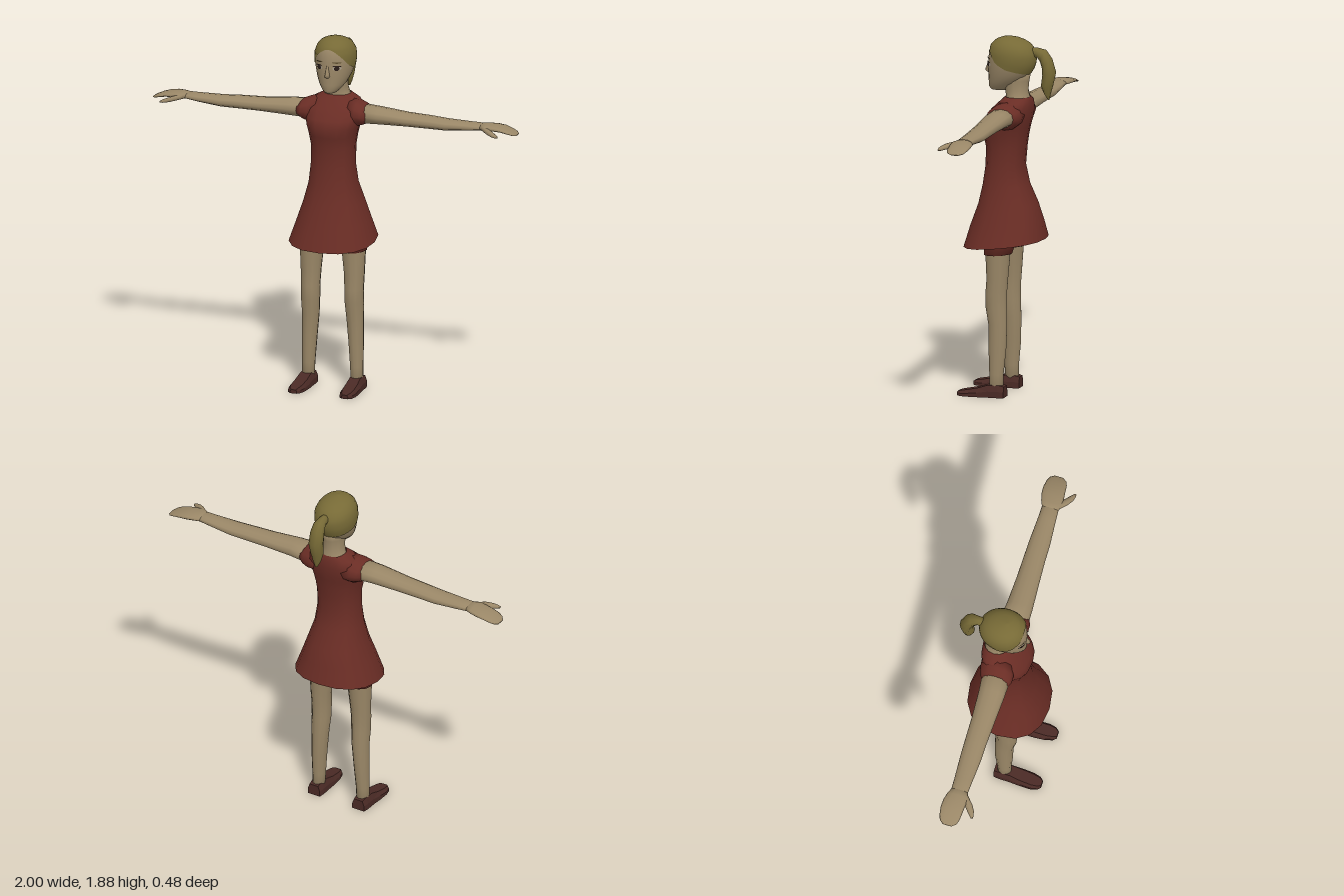
import * as THREE from 'three';

const mat = (name, color, side = THREE.FrontSide) => {
  const m = new THREE.MeshStandardMaterial({ color, side });
  m.name = name;
  return m;
};
const V = (x, y, z) => new THREE.Vector3(x, y, z);

// Closed ring c + u cos(a) + v sin(a); power above 2 squares it off
function ring(c, u, v, n = 12, power = 2) {
  const f = (t) => Math.sign(t) * Math.pow(Math.abs(t), 2 / power);
  return Array.from({ length: n }, (_, i) => {
    const a = (i / n) * Math.PI * 2;
    return c.clone().addScaledVector(u, f(Math.cos(a))).addScaledVector(v, f(Math.sin(a)));
  });
}

// Skin a stack of rings, optionally closing both ends
function loft(rings, caps = true) {
  const n = rings[0].length, pos = [], idx = [];
  rings.forEach((r) => r.forEach((p) => pos.push(p.x, p.y, p.z)));
  for (let i = 0; i < rings.length - 1; i++) {
    for (let j = 0; j < n; j++) {
      const a = i * n + j, b = i * n + (j + 1) % n;
      idx.push(a, a + n, b, b, a + n, b + n);
    }
  }
  if (caps) {
    for (const last of [false, true]) {
      const r = last ? rings[rings.length - 1] : rings[0];
      const c = r.reduce((s, p) => s.add(p), V(0, 0, 0)).divideScalar(n);
      const k = pos.length / 3, o = last ? (rings.length - 1) * n : 0;
      pos.push(c.x, c.y, c.z);
      for (let j = 0; j < n; j++) {
        const a = o + j, b = o + (j + 1) % n;
        last ? idx.push(k, b, a) : idx.push(k, a, b);
      }
    }
  }
  const g = new THREE.BufferGeometry();
  g.setAttribute('position', new THREE.Float32BufferAttribute(pos, 3));
  g.setIndex(idx);
  g.computeVertexNormals();
  return g;
}

// Upright form from rows of [y, centreX, halfWidth, zFront, zBack, tilt]
const upright = (rows, n, power, caps) => loft(rows.map(([y, cx, hx, zf, zb, tilt = 0]) =>
  ring(V(cx, y, (zf + zb) / 2), V(hx, 0, 0), V(0, tilt, (zf - zb) / 2), n, power)), caps);

// Sideways form from rows of [x, yTop, yBottom, zFront, zBack]
const sideways = (rows, n) => loft(rows.map(([x, yt, yb, zf, zb]) =>
  ring(V(x, (yt + yb) / 2, (zf + zb) / 2), V(0, (yt - yb) / 2, 0), V(0, 0, (zb - zf) / 2), n)));

// Mirror an indexed geometry across x and restore its facing
function mirror(g) {
  const m = g.clone().scale(-1, 1, 1), ix = m.index.array;
  for (let i = 0; i < ix.length; i += 3) [ix[i], ix[i + 1]] = [ix[i + 1], ix[i]];
  m.computeVertexNormals();
  return m;
}

// Give every face its own flat normal
function facet(g) {
  const f = g.toNonIndexed();
  f.computeVertexNormals();
  return f;
}

// Linear lookup in rows keyed by their first column
function lookup(rows, t) {
  let i = 0;
  while (i < rows.length - 2 && t > rows[i + 1][0]) i++;
  const a = rows[i], b = rows[i + 1];
  const k = THREE.MathUtils.clamp((t - a[0]) / (b[0] - a[0]), 0, 1);
  return a.map((q, j) => q + (b[j] - q) * k);
}

// Head profile: [y, centreX, halfWidth, zFront, zBack]
const HEAD = [
  [1.595, 0, 0.03, 0.105, 0.02], [1.61, 0, 0.046, 0.117, 0], [1.64, 0, 0.07, 0.117, -0.05],
  [1.68, 0, 0.088, 0.119, -0.1], [1.72, 0, 0.099, 0.119, -0.125], [1.76, 0, 0.104, 0.117, -0.135],
  [1.8, 0, 0.102, 0.114, -0.13], [1.835, 0, 0.087, 0.099, -0.105], [1.858, 0, 0.061, 0.073, -0.065],
  [1.868, 0, 0.035, 0.046, -0.028], [1.872, 0, 0.004, 0.016, 0.008],
];
const HAIRLINE = [[-1, 1.685], [0, 1.715], [0.5, 1.745], [0.78, 1.79], [1, 1.83]];

function faceZ(x, y) {
  const [, , hx, zf, zb] = lookup(HEAD, y);
  return (zf + zb) / 2 + ((zf - zb) / 2) * Math.sqrt(Math.max(0, 1 - (x / hx) ** 2));
}

// Thin oval laid onto the face
function facePlate(cx, cy, rx, ry, lift, tilt = 0) {
  const g = new THREE.CircleGeometry(1, 16).scale(rx, ry, 1).rotateZ(tilt).translate(cx, cy, 0);
  const p = g.attributes.position;
  for (let i = 0; i < p.count; i++) p.setZ(i, faceZ(p.getX(i), p.getY(i)) + lift);
  g.computeVertexNormals();
  return g;
}

export function createModel() {
  const model = new THREE.Group();
  model.name = 'woman';
  const skin = mat('skin', 0x9a8767);
  const dress = mat('dress red', 0x6a2d25, THREE.DoubleSide);
  const hair = mat('blonde hair', 0x776a36, THREE.DoubleSide);
  const shoe = mat('shoe brown', 0x4a2a25);
  const eyeWhite = mat('eye white', 0xa79c8a);
  const dark = mat('dark iris', 0x2a1d18);
  const brow = mat('brow brown', 0x594a2c);

  const add = (name, geometry, material) => {
    const m = new THREE.Mesh(geometry, material);
    m.name = name;
    model.add(m);
  };
  const pair = (name, geometry, material, finish = (g) => g) => {
    add('left' + name, finish(geometry), material);
    add('right' + name, finish(mirror(geometry)), material);
  };

  // Dress: flared open skirt up to the neckline
  add('dress', upright([
    [0.795, 0, 0.228, 0.24, -0.188, -0.025], [0.9, 0, 0.19, 0.205, -0.165, -0.012],
    [1.0, 0, 0.156, 0.165, -0.138], [1.1, 0, 0.127, 0.143, -0.095], [1.2, 0, 0.116, 0.128, -0.073],
    [1.3, 0, 0.116, 0.126, -0.082], [1.36, 0, 0.126, 0.139, -0.09], [1.41, 0, 0.138, 0.15, -0.1],
    [1.45, 0, 0.15, 0.132, -0.11], [1.5, 0, 0.155, 0.094, -0.115], [1.54, 0, 0.122, 0.052, -0.114],
    [1.565, 0, 0.07, 0.025, -0.105],
  ], 16, 2.3, false), dress);
  pair('Sleeve', sideways([
    [0.08, 1.552, 1.41, 0.07, -0.1], [0.13, 1.542, 1.405, 0.085, -0.095],
    [0.165, 1.528, 1.418, 0.085, -0.085], [0.19, 1.515, 1.435, 0.075, -0.07],
  ], 12), dress);

  // Shorts under the skirt
  add('shortsSeat', upright([
    [0.8, 0, 0.06, 0.07, -0.06], [0.86, 0, 0.15, 0.11, -0.1], [1.0, 0, 0.13, 0.12, -0.1],
  ], 12), dress);
  pair('ShortsLeg', upright([
    [0.75, 0.113, 0.073, 0.108, -0.042, -0.005], [0.84, 0.105, 0.085, 0.115, -0.07], [0.95, 0.085, 0.08, 0.115, -0.09],
  ], 12), dress);

  // Legs and shoes
  pair('Leg', upright([
    [0.04, 0.134, 0.032, 0.075, 0], [0.12, 0.132, 0.034, 0.075, -0.002], [0.25, 0.128, 0.039, 0.081, -0.015],
    [0.38, 0.122, 0.045, 0.083, -0.018], [0.47, 0.12, 0.049, 0.099, -0.016], [0.54, 0.12, 0.05, 0.1, -0.016],
    [0.62, 0.119, 0.054, 0.094, -0.022], [0.78, 0.114, 0.066, 0.102, -0.035], [0.9, 0.105, 0.075, 0.105, -0.055],
  ], 12), skin);
  const shoeRows = [
    [-0.012, 0.135, 0.036, 0.058], [0.02, 0.135, 0.041, 0.066], [0.075, 0.136, 0.041, 0.063],
    [0.13, 0.138, 0.044, 0.046], [0.19, 0.141, 0.043, 0.034], [0.225, 0.142, 0.034, 0.028], [0.242, 0.141, 0.018, 0.02],
  ];
  pair('Shoe', loft(shoeRows.map(([z, cx, hx, h]) => [
    V(cx - hx, 0, z), V(cx - hx, h * 0.5, z), V(cx - hx * 0.7, h, z),
    V(cx + hx * 0.7, h, z), V(cx + hx, h * 0.5, z), V(cx + hx, 0, z),
  ])), shoe, facet);

  // Arms, hands and thumbs
  pair('Arm', sideways([
    [0.15, 1.525, 1.425, 0.075, -0.075], [0.25, 1.52, 1.43, 0.073, -0.065], [0.4, 1.505, 1.434, 0.064, -0.058],
    [0.52, 1.5, 1.434, 0.058, -0.056], [0.62, 1.493, 1.434, 0.056, -0.054], [0.75, 1.49, 1.447, 0.047, -0.047],
    [0.82, 1.489, 1.457, 0.043, -0.045],
  ], 12), skin);
  pair('Hand', sideways([
    [0.81, 1.49, 1.456, 0.043, -0.045], [0.84, 1.491, 1.457, 0.056, -0.058], [0.88, 1.489, 1.457, 0.052, -0.068],
    [0.92, 1.482, 1.456, 0.048, -0.07], [0.96, 1.468, 1.45, 0.044, -0.064], [0.985, 1.457, 1.444, 0.034, -0.055],
    [1.0, 1.448, 1.442, 0.012, -0.035],
  ], 12), skin);
  pair('Thumb', sideways([
    [0.82, 1.484, 1.46, 0.046, 0.01], [0.86, 1.48, 1.452, 0.082, 0.035], [0.89, 1.472, 1.447, 0.1, 0.058],
    [0.915, 1.464, 1.445, 0.106, 0.08], [0.93, 1.456, 1.447, 0.105, 0.094],
  ], 8), skin);

  // Neck, head and nose
  add('neck', upright([
    [1.53, 0, 0.085, 0.03, -0.108], [1.565, 0, 0.066, 0.024, -0.102], [1.6, 0, 0.056, 0.03, -0.095],
    [1.65, 0, 0.056, 0.04, -0.1], [1.7, 0, 0.06, 0.04, -0.11],
  ], 12), skin);
  add('head', upright(HEAD, 24), skin);
  add('nose', upright([
    [1.682, 0, 0.009, 0.126, 0.1], [1.69, 0, 0.014, 0.138, 0.1], [1.7, 0, 0.012, 0.137, 0.1], [1.745, 0, 0.006, 0.12, 0.1],
  ], 8), skin);

  // Eyes and brows
  for (const s of [-1, 1]) {
    const side = s > 0 ? 'left' : 'right';
    add(side + 'EyeWhite', facePlate(s * 0.048, 1.734, 0.02, 0.011, 0.003), eyeWhite);
    add(side + 'Iris', facePlate(s * 0.048, 1.734, 0.012, 0.012, 0.005), dark);
    add(side + 'Lash', facePlate(s * 0.049, 1.746, 0.021, 0.003, 0.006, -s * 0.1), dark);
    add(side + 'Brow', facePlate(s * 0.047, 1.765, 0.022, 0.004, 0.005, -s * 0.08), brow);
  }

  // Hair cap, rising from a shaped hairline to the crown
  const steps = 10, sides = 32;
  const cap = Array.from({ length: steps + 1 }, (_, i) => Array.from({ length: sides }, (_, j) => {
    const a = (j / sides) * Math.PI * 2, s = Math.sin(a);
    const rim = lookup(HAIRLINE, s)[1];
    const y = rim + (1.872 - rim) * Math.sin((i / steps) * Math.PI / 2);
    const [, , hx, zf, zb] = lookup(HEAD, y);
    return V((hx + 0.004) * Math.cos(a), y + 0.005 * (i / steps), (zf + zb) / 2 + ((zf - zb) / 2 + 0.004) * s);
  }));
  add('hairCap', loft(cap, false), hair);
  add('crown', new THREE.SphereGeometry(0.012, 12, 6).scale(1, 0.2, 1).translate(0, 1.875, 0.012), hair);

  // Ponytail: [outerY, outerZ, innerY, innerZ, halfWidth]
  const tail = [
    [1.822, -0.1, 1.765, -0.11, 0.026], [1.826, -0.14, 1.772, -0.145, 0.024], [1.815, -0.19, 1.752, -0.16, 0.034],
    [1.77, -0.222, 1.72, -0.17, 0.04], [1.7, -0.243, 1.68, -0.172, 0.04], [1.63, -0.228, 1.625, -0.164, 0.034],
    [1.58, -0.214, 1.59, -0.178, 0.022], [1.552, -0.208, 1.558, -0.198, 0.008],
  ];
  add('ponytail', loft(tail.map(([oy, oz, iy, iz, w]) =>
    ring(V(0, (oy + iy) / 2, (oz + iz) / 2), V(w, 0, 0), V(0, (oy - iy) / 2, (oz - iz) / 2), 10))), hair);

  return model;
}
